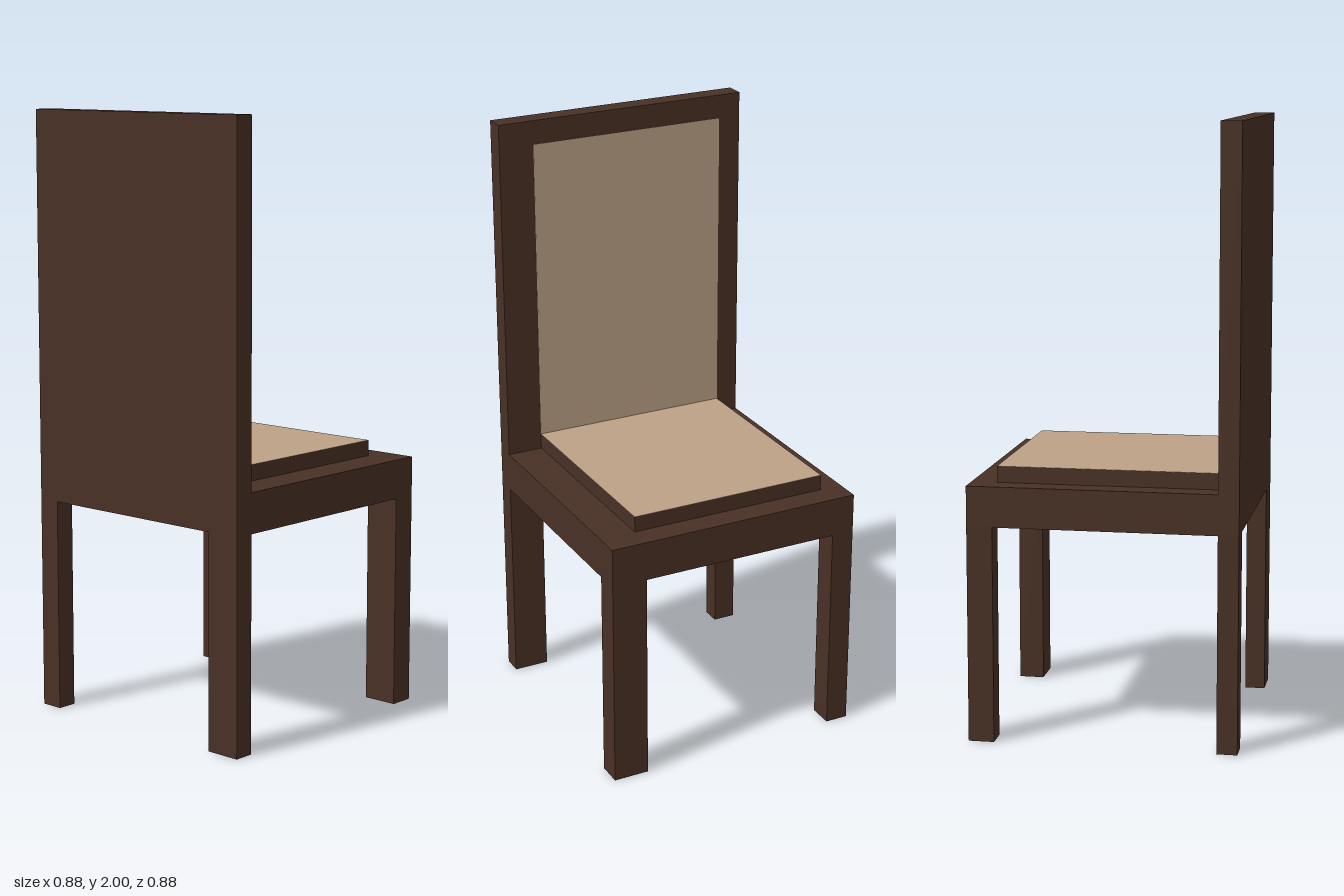
import * as THREE from 'three';

const wood = new THREE.MeshStandardMaterial({ color: 0x483024 });
const fabric = new THREE.MeshStandardMaterial({ color: 0xbca186 });

// Box given by its extents on each axis
function block(name, [x0, x1], [y0, y1], [z0, z1], material = wood) {
  const mesh = new THREE.Mesh(new THREE.BoxGeometry(x1 - x0, y1 - y0, z1 - z0), material);
  mesh.position.set((x0 + x1) / 2, (y0 + y1) / 2, (z0 + z1) / 2);
  mesh.name = name;
  return mesh;
}

export function createModel() {
  const chair = new THREE.Group();
  chair.name = 'chair';

  const depth = [-0.44, 0.437], width = [-0.44, 0.44];
  const backX = [-0.44, -0.373], frontX = [0.353, 0.437];
  const inset = [-0.363, 0.32]; // width shared by the cushion and back panel
  const legTop = 0.71, seatTop = 0.842, cushionTop = 0.895;
  const skin = 0.001; // thickness of the fabric faces

  // Four legs, wider on one side of the chair
  for (const [end, x] of [['back', backX], ['front', frontX]]) {
    chair.add(block(end + 'LegWide', x, [0, legTop], [inset[1], width[1]]));
    chair.add(block(end + 'LegNarrow', x, [0, legTop], [width[0], inset[0]]));
  }

  // Seat slab with a raised, fabric-topped cushion
  chair.add(block('seat', depth, [legTop, seatTop], width));
  const cushionX = [backX[1], frontX[0]];
  chair.add(block('cushionBase', cushionX, [seatTop, cushionTop - skin], inset));
  chair.add(block('cushionTop', cushionX, [cushionTop - skin, cushionTop], inset, fabric));

  // Tall backrest with a flush fabric panel on its inner face
  chair.add(block('backrest', backX, [seatTop, 2], width));
  chair.add(block('backPanel', [backX[1], backX[1] + skin], [cushionTop, 1.92], inset, fabric));

  return chair;
}
